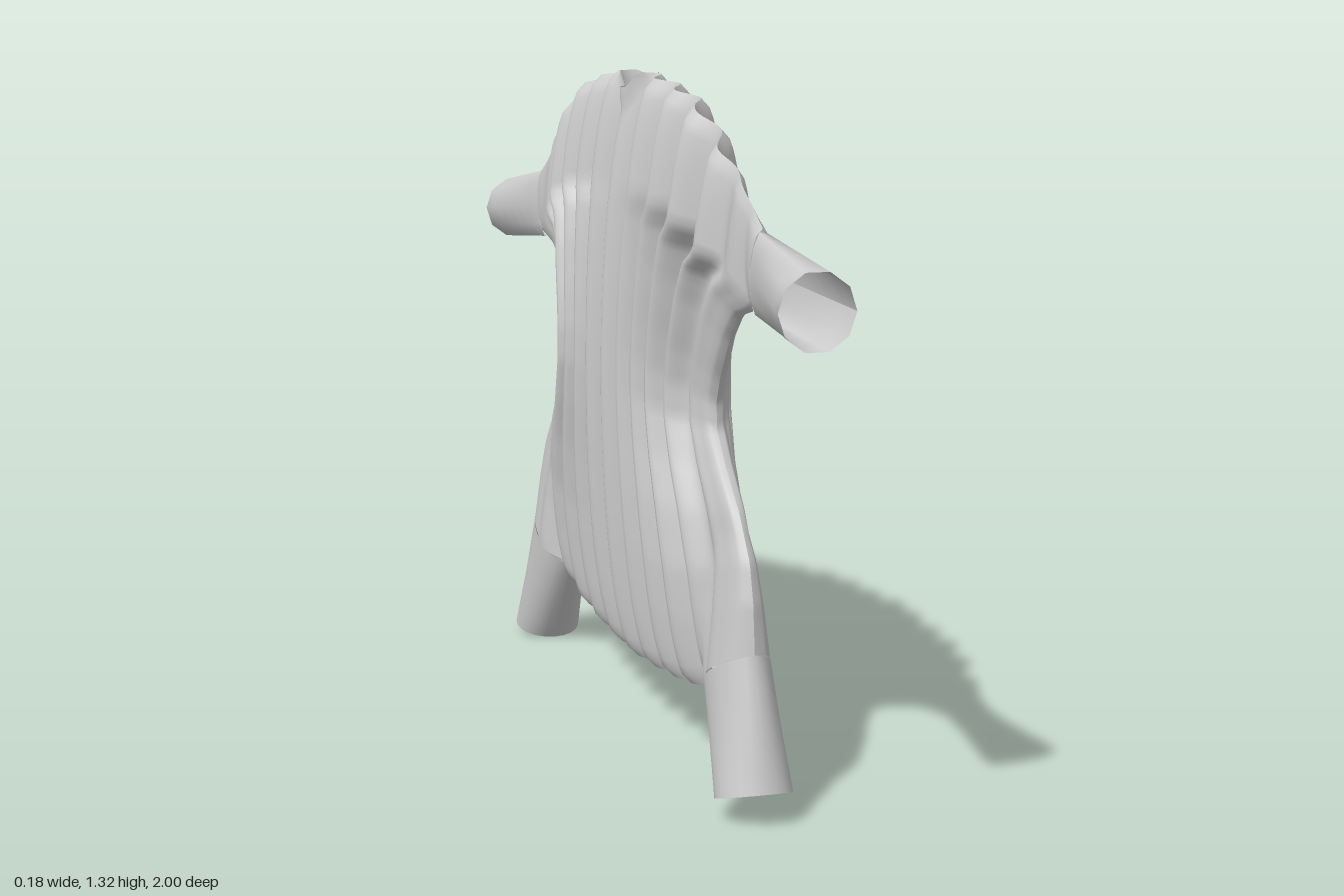
import * as THREE from 'three';

const material = new THREE.MeshStandardMaterial({ color: 0xcccccc, side: THREE.DoubleSide });

// Outline keys, as [position, value]
const SIDE = [[0.31, 0.705], [0.4, 0.695], [0.47, 0.675], [0.55, 0.615], [0.62, 0.54], [0.68, 0.49],
  [0.73, 0.485], [0.78, 0.505], [0.86, 0.56], [0.9, 0.605], [0.92, 0.64], [0.93, 0.71], [1.08, 0.73]]; // y -> z
const TOP = [[0, 1.295], [0.045, 1.295], [0.06, 1.325], [0.12, 1.32], [0.25, 1.305], [0.38, 1.28],
  [0.5, 1.215], [0.62, 1.15], [0.73, 1.08]]; // z -> y
const HEM = [[0, 0.14], [0.2, 0.152], [0.38, 0.172], [0.5, 0.21], [0.705, 0.31]]; // z -> y

function sample(keys, t) {
  if (t <= keys[0][0]) return keys[0][1];
  for (let i = 1; i < keys.length; i++) {
    const [a, b] = [keys[i - 1], keys[i]];
    if (t <= b[0]) return a[1] + (b[1] - a[1]) * (t - a[0]) / (b[0] - a[0]);
  }
  return keys[keys.length - 1][1];
}

const dome = (t, c, r) => Math.sqrt(Math.max(0, 1 - ((t - c) / r) ** 2));
const { lerp, smoothstep } = THREE.MathUtils;

// Grid surface: point(i / cols, j / rows) gives [x, y, z]
function surface(name, cols, rows, point, flip = false) {
  const pos = [], index = [];
  for (let j = 0; j <= rows; j++) {
    for (let i = 0; i <= cols; i++) pos.push(...point(i / cols, j / rows));
  }
  for (let j = 0; j < rows; j++) {
    for (let i = 0; i < cols; i++) {
      const a = j * (cols + 1) + i, b = a + 1, c = a + cols + 1, d = c + 1;
      index.push(...(flip ? [a, c, b, b, c, d] : [a, b, c, b, d, c]));
    }
  }
  const geometry = new THREE.BufferGeometry();
  geometry.setAttribute('position', new THREE.Float32BufferAttribute(pos, 3));
  geometry.setIndex(index);
  geometry.computeVertexNormals();
  const mesh = new THREE.Mesh(geometry, material);
  mesh.name = name;
  return mesh;
}

// One pleated cloth panel; side = +1 or -1 in x
function panel(side) {
  return surface(side > 0 ? 'leftPanel' : 'rightPanel', 180, 60, (u, v) => {
    const s = u * 2 - 1, a = Math.abs(s);
    const flatZ = a * lerp(0.705, 0.73, v);
    // waist pinch, strongest at the outer edges
    const pinch = sample(SIDE, lerp(0.31, 1.08, v)) - lerp(0.705, 0.73, v);
    const z = Math.sign(s) * (flatZ + pinch * a ** 1.5);
    const scallop = 0.005 * Math.cos(flatZ * 52) * (1 - smoothstep(a, 0.6, 0.75)) * (1 - v);
    const y = lerp(sample(HEM, flatZ), sample(TOP, flatZ), v) + scallop;
    // pleats shared by both panels
    const fade = 1 - smoothstep(a, 0.6, 0.95);
    const height = 0.45 + 0.55 * Math.sqrt(4 * v * (1 - v));
    const pleat = -0.034 * Math.sin(s * 0.715 * 52) * fade * height;
    // spread of the panels: hollow middle, plus leg, arm and neck openings
    const gap = Math.max(
      0.056 * Math.max(0, 1 - s * s) ** 0.4 * Math.sqrt(4 * v * (1 - v)),
      0.055 * dome(a, 0.86, 0.14) * Math.max(0, 1 - v * 2),
      0.02 * dome(v, 0.9, 0.1) * smoothstep(a, 0.85, 1),
      0.035 * dome(z, 0, 0.075) * Math.max(0, 1 - (1 - v) * 8));
    return [pleat + side * gap, y, z];
  }, side > 0);
}

// Open sleeve between two elliptical rings [y, z, half x, in-plane dy, dz]
function sleeve(name, from, to, sides) {
  return surface(name, sides, 6, (u, v) => {
    const t = u * Math.PI * 2;
    const [y, z, rx, dy, dz] = from.map((f, k) => lerp(f, to[k], v));
    return [rx * Math.cos(t), y + dy * Math.sin(t), z + dz * Math.sin(t)];
  });
}

export function createModel() {
  const group = new THREE.Group();
  group.name = 'pleatedGarment';
  const body = new THREE.Group();
  body.name = 'body';
  body.add(panel(1), panel(-1));
  group.add(body);
  for (const d of [1, -1]) {
    const end = d > 0 ? 'front' : 'back';
    group.add(sleeve(end + 'Arm', [1.0, 0.72 * d, 0.02, 0.077, 0.01 * d],
      [0.967, d, 0.07, 0.07, 0], 10));
    const foot = d > 0 ? [0.05, 0.705, 0.072, 0.02, 0.066] : [0.022, -0.73, 0.072, 0.018, -0.067];
    group.add(sleeve(end + 'Leg', [0.26, 0.607 * d, 0.055, 0.05, 0.1 * d], foot, 20));
  }
  return group;
}
